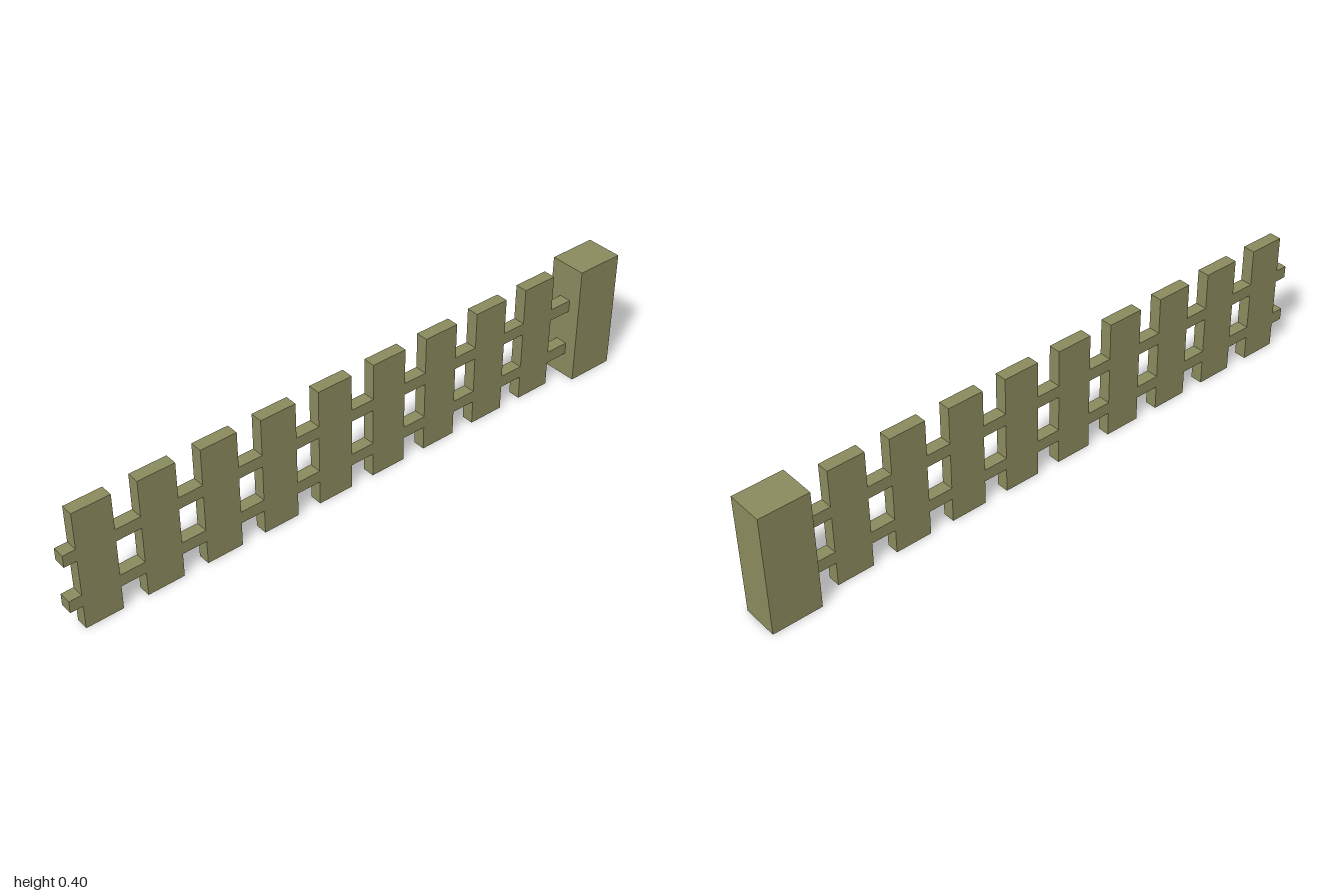
import * as THREE from 'three';

export function createModel() {
  const fence = new THREE.Group();
  fence.name = 'picketFence';
  const wood = new THREE.MeshStandardMaterial({ color: 0x8c8c60 });
  wood.name = 'olive wood';

  // Box placed by its minimum x and y, centred on z
  function addBox(name, x, y, width, height, depth) {
    const mesh = new THREE.Mesh(new THREE.BoxGeometry(width, height, depth), wood);
    mesh.name = name;
    mesh.position.set(x + width / 2, y + height / 2, 0);
    fence.add(mesh);
  }

  // End post
  addBox('endPost', 0.84, 0, 0.16, 0.4, 0.12);

  // Evenly spaced pickets
  const pickets = 9, spacing = 0.2, picketWidth = 0.12, thickness = 0.04;
  for (let i = 0; i < pickets; i++) {
    addBox(`picket${i + 1}`, -0.96 + i * spacing, 0, picketWidth, 0.4, thickness);
  }

  // Rail pieces fill the gaps between pickets, flush with their faces
  for (const [name, y] of [['lowerRail', 0.08], ['upperRail', 0.24]]) {
    addBox(`${name}Stub`, -1, y, 0.04, 0.04, thickness);
    for (let i = 0; i < pickets; i++) {
      addBox(`${name}${i + 1}`, -0.84 + i * spacing, y, spacing - picketWidth, 0.04, thickness);
    }
  }
  return fence;
}
